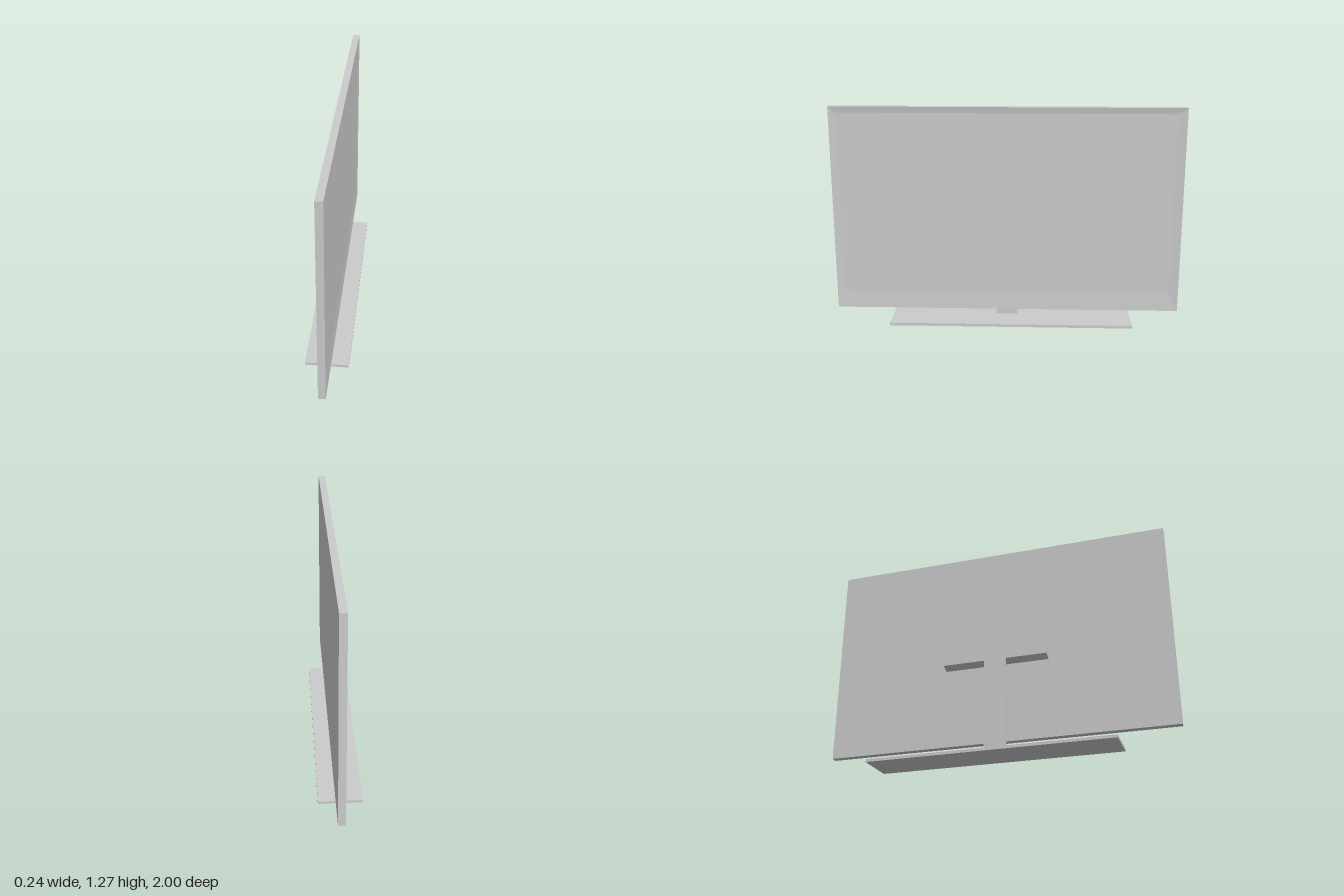
import * as THREE from 'three';

const material = new THREE.MeshStandardMaterial({ color: 0xcccccc, flatShading: true });

function add(group, name, geometry) {
  const mesh = new THREE.Mesh(geometry, material);
  mesh.name = name;
  group.add(mesh);
}

// Box given by its lower and upper corners
function boxBetween([x0, y0, z0], [x1, y1, z1]) {
  return new THREE.BoxGeometry(x1 - x0, y1 - y0, z1 - z0)
    .translate((x0 + x1) / 2, (y0 + y1) / 2, (z0 + z1) / 2);
}

// Rectangle in the plane x, counter-clockwise when seen from +x
function loop(x, y0, y1, z0, z1) {
  return [[x, y0, z1], [x, y0, z0], [x, y1, z0], [x, y1, z1]];
}

function quadsGeometry(quads) {
  const positions = quads.flatMap(([a, b, c, d]) => [a, b, c, a, c, d].flat());
  const geometry = new THREE.BufferGeometry();
  geometry.setAttribute('position', new THREE.Float32BufferAttribute(positions, 3));
  geometry.computeVertexNormals();
  return geometry;
}

// Strip of four quads joining two rectangles
function bridge(a, b) {
  return a.map((p, i) => [p, a[(i + 1) % 4], b[(i + 1) % 4], b[i]]);
}

export function createModel() {
  const model = new THREE.Group();
  model.name = 'television';

  // Cabinet: flat back, straight sides and a bezel sloping in to the screen
  const back = loop(-0.01, 0.077, 1.27, -1, 1);
  const front = loop(0.03, 0.077, 1.27, -1, 1);
  const inner = loop(0.024, 0.182, 1.235, -0.948, 0.962);
  add(model, 'cabinet', quadsGeometry([[...back].reverse(), ...bridge(back, front)]));
  add(model, 'bezel', quadsGeometry(bridge(front, inner)));
  add(model, 'screen', quadsGeometry([inner]));

  // Bracket across the back, tapering away from the cabinet
  const profile = new THREE.Shape([
    [-0.01, 0.537], [-0.01, 0.613], [-0.06, 0.597], [-0.06, 0.554],
  ].map(([x, y]) => new THREE.Vector2(x, y)));
  add(model, 'bracket', new THREE.ExtrudeGeometry(profile, { depth: 0.61, bevelEnabled: false })
    .translate(0, 0, -0.307));

  // Upright and foot plate
  add(model, 'upright', boxBetween([-0.06, 0.016, -0.062], [-0.046, 0.556, 0.065]));
  add(model, 'base', boxBetween([-0.122, 0, -0.73], [0.12, 0.016, 0.68]));

  return model;
}
